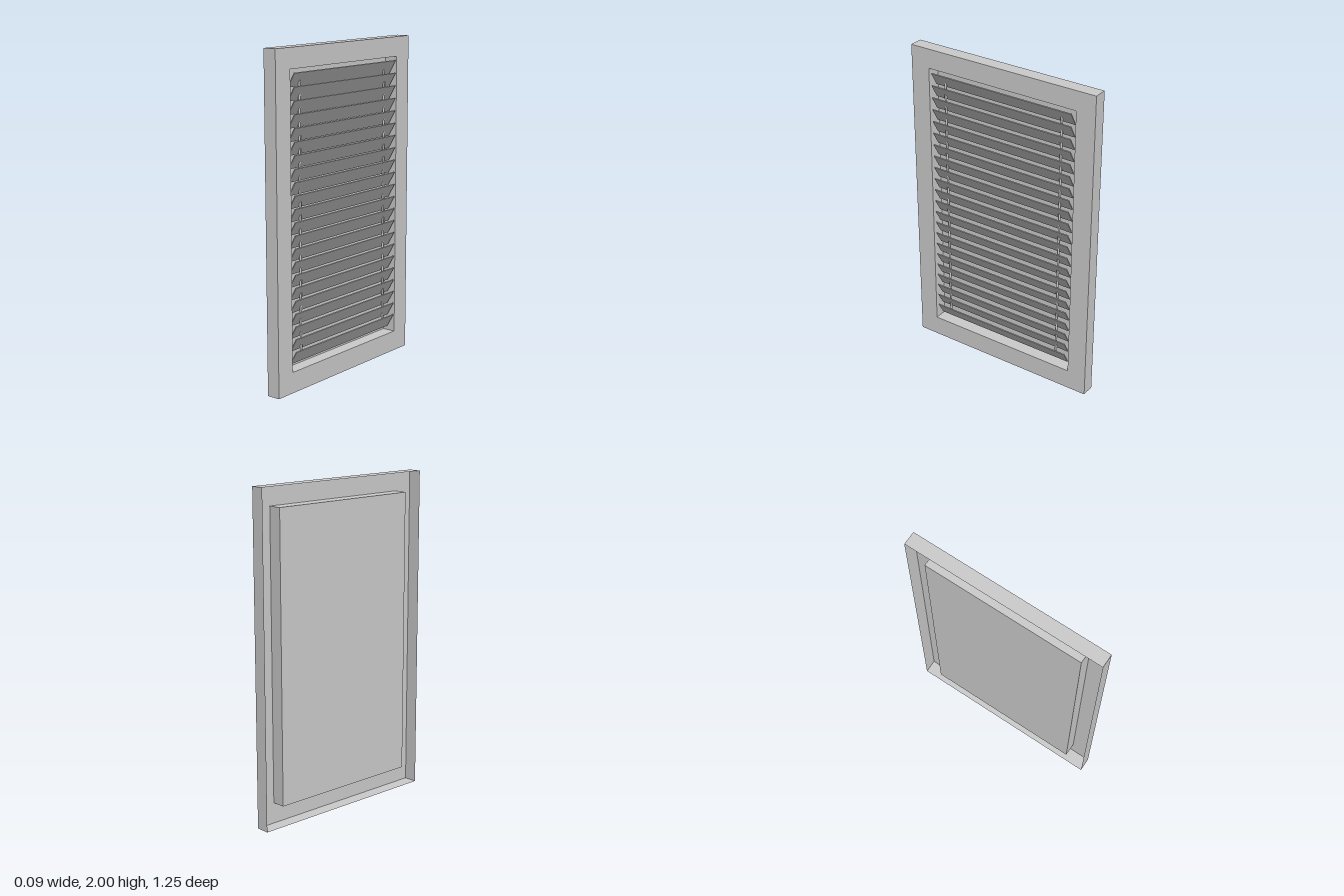
import * as THREE from 'three';

const FRONT = 0.037, BACK = -0.047;
const sheet = new THREE.MeshStandardMaterial({ color: 0xcccccc, side: THREE.DoubleSide });
const solid = new THREE.MeshStandardMaterial({ color: 0xcccccc });

// Rectangle in the (-z, y) plane
function rect(PathType, halfZ, y0, y1) {
  return new PathType([
    new THREE.Vector2(-halfZ, y0), new THREE.Vector2(halfZ, y0),
    new THREE.Vector2(halfZ, y1), new THREE.Vector2(-halfZ, y1),
  ]);
}

// Flat sheet facing +x at the given x
function panel(name, shape, x) {
  const mesh = new THREE.Mesh(new THREE.ShapeGeometry(shape), sheet);
  mesh.name = name;
  mesh.rotation.y = Math.PI / 2;
  mesh.position.x = x;
  return mesh;
}

// Four thin walls running from front to back around a rectangle
function walls(name, halfZ, y0, y1) {
  const group = new THREE.Group();
  group.name = name;
  const depth = FRONT - BACK, midX = (FRONT + BACK) / 2;
  for (const side of [-1, 1]) {
    const upright = new THREE.Mesh(new THREE.PlaneGeometry(depth, y1 - y0), sheet);
    upright.name = 'sideWall';
    upright.position.set(midX, (y0 + y1) / 2, side * halfZ);
    if (side < 0) upright.rotation.y = Math.PI;
    const level = new THREE.Mesh(new THREE.PlaneGeometry(depth, 2 * halfZ), sheet);
    level.name = side > 0 ? 'topWall' : 'bottomWall';
    level.position.set(midX, side > 0 ? y1 : y0, 0);
    level.rotation.x = -side * Math.PI / 2;
    group.add(upright, level);
  }
  return group;
}

export function createModel() {
  const model = new THREE.Group();
  model.name = 'louverWindow';

  // Hollow frame, open at the back
  const face = rect(THREE.Shape, 0.623, 0, 2);
  face.holes.push(rect(THREE.Path, 0.5, 0.127, 1.88));
  model.add(panel('frameFace', face, FRONT));
  model.add(walls('frameRim', 0.623, 0, 2));

  // Recess behind the slats
  model.add(walls('recessWalls', 0.5, 0.127, 1.88));
  model.add(panel('recessBack', rect(THREE.Shape, 0.5, 0.127, 1.88), BACK));

  // Overlapping slats, top edge leaning outward
  const slats = new THREE.Group();
  slats.name = 'slats';
  const slatGeometry = new THREE.BoxGeometry(0.006, 0.095, 0.952);
  for (let i = 0; i < 22; i++) {
    const slat = new THREE.Mesh(slatGeometry, solid);
    slat.name = 'slat';
    slat.position.set(0.021, 0.204 + i * 0.0768, 0);
    slat.rotation.z = -Math.PI / 6;
    slats.add(slat);
  }
  model.add(slats);

  // Cords threaded through the slats
  for (const side of [-1, 1]) {
    const cord = new THREE.Mesh(new THREE.CylinderGeometry(0.007, 0.007, 1.62, 8), solid);
    cord.name = 'cord';
    cord.position.set(0.015, 1.01, side * 0.398);
    model.add(cord);
  }
  return model;
}
